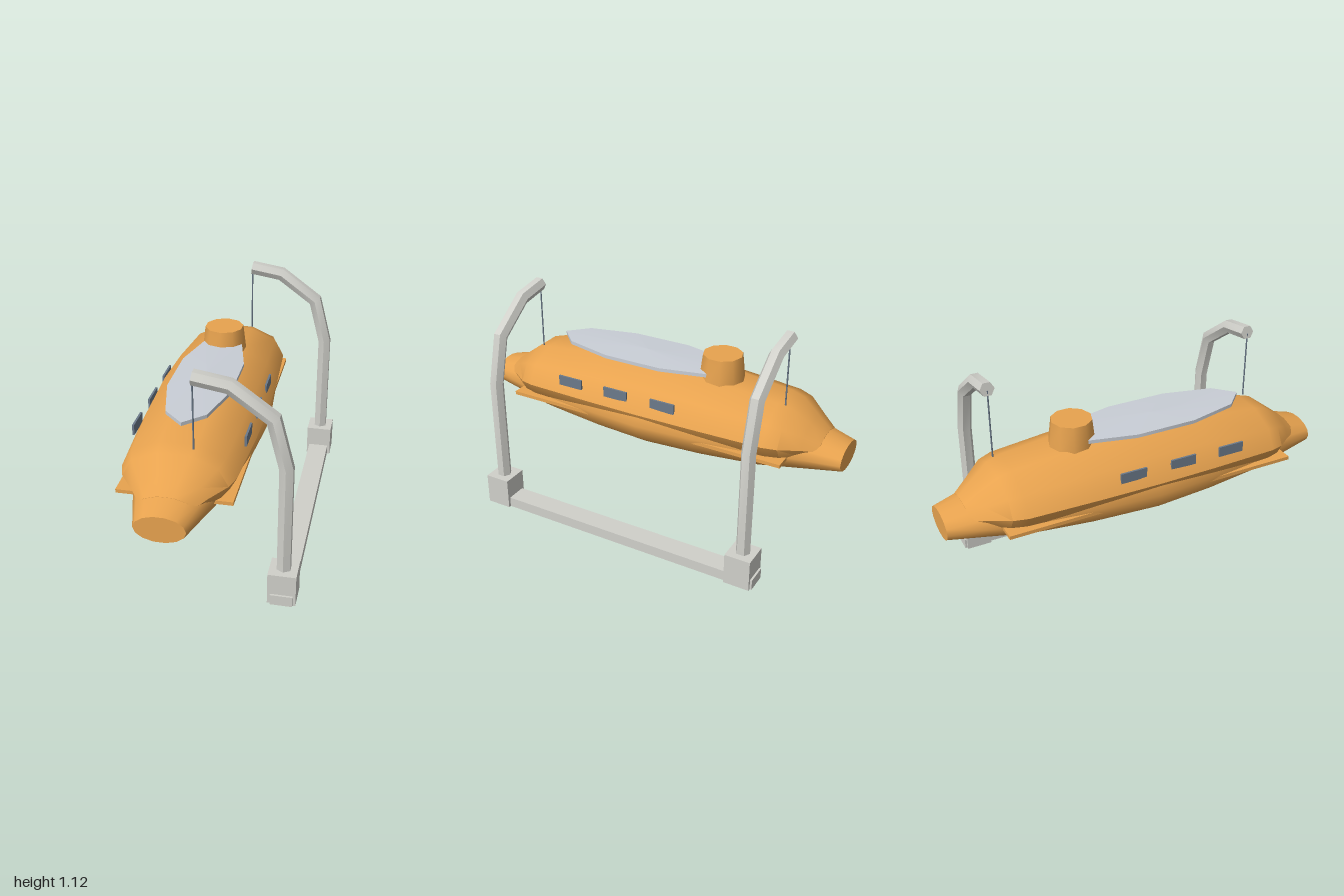
import * as THREE from 'three';
import { toCreasedNormals } from 'three/addons/utils/BufferGeometryUtils.js';

const CENTER_X = -0.13; // hull centre line
const orange = new THREE.MeshStandardMaterial({ color: 0xe8a34f });
const deckGrey = new THREE.MeshStandardMaterial({ color: 0xc9ced6 });
const windowBlue = new THREE.MeshStandardMaterial({ color: 0x6c7a8a });
const frameGrey = new THREE.MeshStandardMaterial({ color: 0xd0d0ca });

// Closed skin over rings of points, counter-clockwise about the direction of travel
function loft(rings, crease) {
  const n = rings[0].length, pos = [], index = [];
  rings.forEach(r => r.forEach(p => pos.push(p.x, p.y, p.z)));
  for (let i = 0; i < rings.length - 1; i++) {
    for (let j = 0; j < n; j++) {
      const k = (j + 1) % n, a = i * n, b = a + n;
      index.push(a + j, a + k, b + k, a + j, b + k, b + j);
    }
  }
  const last = (rings.length - 1) * n;
  for (let j = 1; j < n - 1; j++) {
    index.push(0, j + 1, j);
    index.push(last, last + j, last + j + 1);
  }
  const geo = new THREE.BufferGeometry();
  geo.setAttribute('position', new THREE.Float32BufferAttribute(pos, 3));
  geo.setIndex(index);
  return toCreasedNormals(geo, crease);
}

// Elliptical hull, mirrored fore and aft; stations are [z, centreY, radiusX, radiusY] from midship out
function hull(stations, sides, turn) {
  const aft = stations.slice(1).reverse().map(([z, ...rest]) => [-z, ...rest]);
  const rings = [...aft, ...stations].map(([z, cy, rx, ry]) =>
    Array.from({ length: sides }, (_, j) => {
      const a = turn + (j / sides) * Math.PI * 2;
      return new THREE.Vector3(CENTER_X + Math.cos(a) * rx, cy + Math.sin(a) * ry, z);
    }));
  return loft(rings, 0.85);
}

// Hexagonal bar with mitred bends along points in the xy plane
function bentBar(points, radius) {
  const rings = points.map((p, i) => {
    const before = p.clone().sub(points[Math.max(i - 1, 0)]).normalize();
    const after = points[Math.min(i + 1, points.length - 1)].clone().sub(p).normalize();
    const t = before.clone().add(after).normalize();
    const mitre = 1 / t.dot(i ? before : after);
    return Array.from({ length: 6 }, (_, j) => {
      const a = Math.PI / 6 + (j / 6) * Math.PI * 2;
      const u = Math.cos(a) * radius * mitre;
      return new THREE.Vector3(p.x - t.y * u, p.y + t.x * u, Math.sin(a) * radius);
    });
  });
  return loft(rings, 0.5);
}

export function createModel() {
  const model = new THREE.Group();
  const add = (name, geo, mat, x = 0, y = 0, z = 0) => {
    const mesh = new THREE.Mesh(geo, mat);
    mesh.name = name;
    mesh.position.set(x, y, z);
    model.add(mesh);
    return mesh;
  };
  const box = (name, mat, size, at) => add(name, new THREE.BoxGeometry(...size), mat, ...at);

  // Boat body: lower hull and covered upper hull
  add('lowerHull', hull([
    [0, 0.545, 0.305, 0.182],
    [0.3, 0.543, 0.28, 0.172],
    [0.6, 0.535, 0.235, 0.145],
    [0.82, 0.525, 0.17, 0.102],
    [1, 0.515, 0.118, 0.065],
  ], 14, 0), orange);
  add('upperHull', hull([
    [0, 0.605, 0.297, 0.205],
    [0.3, 0.603, 0.29, 0.19],
    [0.66, 0.595, 0.267, 0.158],
    [0.73, 0.59, 0.243, 0.144],
    [0.82, 0.575, 0.17, 0.09],
    [0.89, 0.56, 0.12, 0.05],
  ], 10, 0), orange);
  box('sideFins', orange, [0.54, 0.018, 1.52], [CENTER_X, 0.523, 0]);

  // Conning tower and foredeck plate
  add('tower', toCreasedNormals(new THREE.CylinderGeometry(0.1, 0.116, 0.135, 10), 0.7),
    orange, CENTER_X, 0.8275, -0.325);
  const deck = new THREE.CylinderGeometry(0.165, 0.165, 0.018, 10);
  deck.scale(1, 1, 0.5 / 0.165);
  add('deckPlate', toCreasedNormals(deck, 0.3), deckGrey, CENTER_X, 0.806, 0.1);
  const crown = new THREE.ConeGeometry(0.165, 0.008, 10, 1, true);
  crown.scale(1, 1, 0.5 / 0.165);
  add('deckCrown', crown, deckGrey, CENTER_X, 0.819, 0.1);

  // Side windows
  for (const side of [-1, 1]) {
    for (const z of [-0.133, 0.133, 0.4]) {
      box('window', windowBlue, [0.01, 0.052, 0.134], [CENTER_X + side * 0.268, 0.673, z]);
    }
  }

  // Launching davits with cables and feet
  const arm = bentBar([
    [0.363, 0.1], [0.363, 0.695], [0.302, 0.93], [0.112, 1.068], [-0.05, 1.094],
  ].map(([x, y]) => new THREE.Vector3(x, y, 0)), 0.036);
  for (const z of [-0.695, 0.695]) {
    add('davitArm', arm, frameGrey, 0, 0, z);
    add('cable', new THREE.CylinderGeometry(0.004, 0.004, 0.345, 6), windowBlue, -0.05, 0.915, z);
    box('davitFoot', frameGrey, [0.133, 0.16, 0.13], [0.363, 0.08, z]);
  }
  box('baseRail', frameGrey, [0.105, 0.053, 1.54], [0.363, 0.0265, 0]);

  return model;
}
